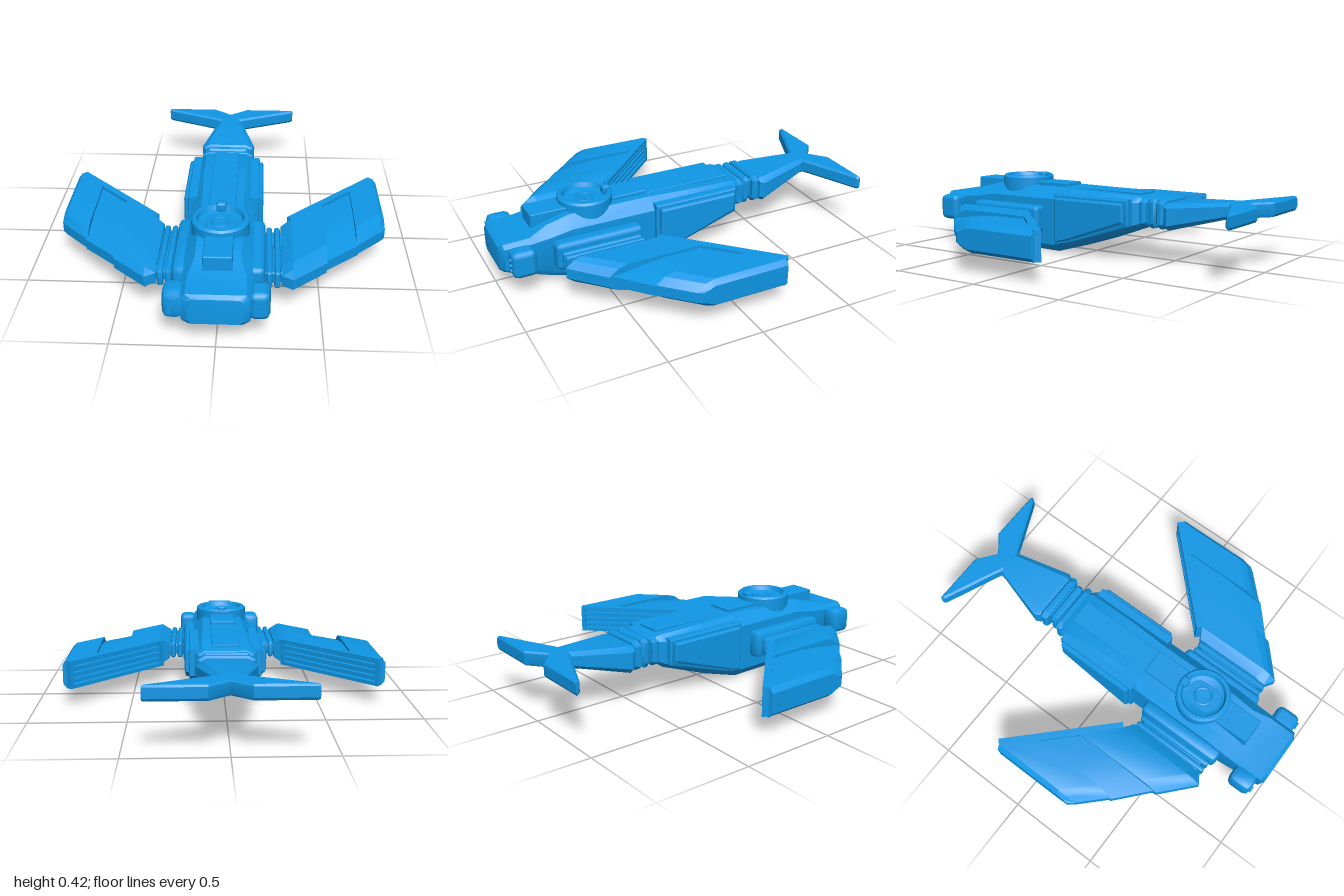
import * as THREE from 'three';
import { mergeVertices, toCreasedNormals } from 'three/addons/utils/BufferGeometryUtils.js';
import { RoundedBoxGeometry } from 'three/addons/geometries/RoundedBoxGeometry.js';

const blue = new THREE.MeshStandardMaterial({ color: 0x0f97e6 });
blue.name = 'hull blue';

// Closed solid skinned through cross-sections (equal numbers of [x, y, z] points), turned outward
function loft(sections, crease = 0.5) {
  const n = sections[0].length, pos = sections.flat(2), idx = [];
  for (let s = 0; s < sections.length - 1; s++) {
    for (let i = 0; i < n; i++) {
      const a = s * n + i, b = s * n + (i + 1) % n;
      idx.push(a, b, b + n, a, b + n, a + n);
    }
  }
  const e = (sections.length - 1) * n;
  const capStart = THREE.ShapeUtils.triangulateShape, flat = (sec) => {
    // drop the axis along which the section is flattest
    const span = [0, 1, 2].map(k => Math.max(...sec.map(p => p[k])) - Math.min(...sec.map(p => p[k])));
    const drop = span.indexOf(Math.min(...span)), keep = [0, 1, 2].filter(k => k !== drop);
    return sec.map(p => new THREE.Vector2(p[keep[0]], p[keep[1]]));
  };
  const cap = (sec, base, start) => {
    const pts = flat(sec), ccw = THREE.ShapeUtils.area(pts) > 0;
    for (const f of capStart(pts.slice(), [])) {
      let [a, b, c] = f;
      // follow the ring order so both caps agree with the sides
      const ringOrder = (THREE.ShapeUtils.area([pts[a], pts[b], pts[c]]) > 0) === ccw;
      if (ringOrder === start) [b, c] = [c, b];
      idx.push(base + a, base + b, base + c);
    }
  };
  cap(sections[0], 0, true);
  cap(sections[sections.length - 1], e, false);
  const P = i => new THREE.Vector3().fromArray(pos, i * 3), mid = P(0);
  let vol = 0;
  for (let i = 0; i < idx.length; i += 3) {
    const [a, b, c] = [0, 1, 2].map(k => P(idx[i + k]).sub(mid));
    vol += a.dot(b.cross(c));
  }
  if (vol < 0) idx.reverse();
  const g = new THREE.BufferGeometry();
  g.setAttribute('position', new THREE.Float32BufferAttribute(pos, 3));
  g.setIndex(idx);
  return toCreasedNormals(g, crease);
}

// Reflection across x = 0 with the corner order restored
function mirrored(geo) {
  const g = geo.index ? geo.toNonIndexed() : geo.clone();
  g.scale(-1, 1, 1);
  for (const attr of Object.values(g.attributes)) {
    const s = attr.itemSize, a = attr.array;
    for (let t = 0; t < attr.count; t += 3) {
      for (let k = 0; k < s; k++) {
        const i = (t + 1) * s + k, j = (t + 2) * s + k;
        [a[i], a[j]] = [a[j], a[i]];
      }
    }
  }
  g.deleteAttribute('normal');
  g.deleteAttribute('uv');
  return toCreasedNormals(mergeVertices(g, 1e-5), 0.5);
}

// Box from its limits, with softened edges
function block(x0, x1, y0, y1, z0, z1, r = 0.012) {
  return new RoundedBoxGeometry(x1 - x0, y1 - y0, z1 - z0, 1, r)
    .translate((x0 + x1) / 2, (y0 + y1) / 2, (z0 + z1) / 2);
}

// Symmetric eight-sided hull section
function hull(z, w, wBottom, wTop, yb, y1, y2, yt) {
  const half = [[wBottom, yb], [w, y1], [w, y2], [wTop, yt]];
  return [...half, ...half.slice().reverse().map(([x, y]) => [-x, y])].map(([x, y]) => [x, y, z]);
}

export function createModel() {
  const model = new THREE.Group();
  model.name = 'spacecraft';
  const add = (name, geo) => {
    const m = new THREE.Mesh(geo, blue);
    m.name = name;
    model.add(m);
  };
  const pair = (name, geo) => {
    add(name + 'Left', geo);
    add(name + 'Right', mirrored(geo));
  };

  // Main hull, nose to stern
  add('hull', loft([
    hull(1.0, 0.13, 0.11, 0.11, 0.13, 0.15, 0.25, 0.265),
    hull(0.98, 0.16, 0.13, 0.14, 0.12, 0.14, 0.26, 0.28),
    hull(0.84, 0.165, 0.14, 0.14, 0.075, 0.12, 0.26, 0.285),
    hull(0.74, 0.165, 0.14, 0.11, 0.04, 0.08, 0.27, 0.32),
    hull(0.62, 0.165, 0.14, 0.11, 0.008, 0.04, 0.29, 0.35),
    hull(0.16, 0.165, 0.14, 0.11, 0.0, 0.035, 0.29, 0.35),
    hull(-0.05, 0.165, 0.13, 0.12, 0.06, 0.1, 0.3, 0.345),
    hull(-0.33, 0.16, 0.13, 0.12, 0.165, 0.19, 0.31, 0.34),
    hull(-0.36, 0.13, 0.11, 0.11, 0.185, 0.2, 0.31, 0.33),
  ], 0.6));
  add('spineFront', block(-0.07, 0.07, 0.27, 0.37, 0.16, 0.81, 0.006));
  add('spineRear', block(-0.07, 0.07, 0.25, 0.353, -0.33, 0.17, 0.004));

  // Dished turret ring with hub and rear nub
  const ring = [[0, 0.36], [0.055, 0.36], [0.11, 0.375], [0.12, 0.4], [0.135, 0.4], [0.145, 0.39], [0.145, 0.3], [0, 0.3]]
    .reverse().map(p => new THREE.Vector2(...p));
  const place = g => g.translate(0, 0, 0.49);
  add('turretRing', place(toCreasedNormals(new THREE.LatheGeometry(ring, 40).scale(-1, 1, 1).scale(-1, 1, 1), 0.5)));
  for (const mesh of [model.children[model.children.length - 1]]) {
    // the profile runs bottom to top, so its faces look outward
    mesh.geometry.computeBoundingSphere();
  }
  add('turretHubRim', place(new THREE.TorusGeometry(0.045, 0.008, 6, 24).rotateX(Math.PI / 2).translate(0, 0.368, 0)));
  for (const a of [0, Math.PI / 2]) {
    add('turretHubCross', place(new THREE.BoxGeometry(0.08, 0.012, 0.012).rotateY(a).translate(0, 0.367, 0)));
  }
  add('turretNub', block(-0.026, 0.026, 0.37, 0.418, 0.35, 0.395, 0.012));

  // Nose pods with a ring of studs on the front
  pair('nosePod', block(0.15, 0.25, 0.125, 0.27, 0.835, 0.965, 0.03));
  for (const y of [0.17, 0.2, 0.23]) {
    pair('podStud', new THREE.CylinderGeometry(0.01, 0.01, 0.016, 8).rotateX(Math.PI / 2).translate(0.215, y, 0.965));
  }

  // Side armour, in two stepped layers that follow the rising belly
  const panel = (x, m) => [[x, 0.04 + m, 0.16 - m], [x, 0.325 - m, 0.16 - m], [x, 0.325 - m, -0.32 + m], [x, 0.185 + m, -0.32 + m], [x, 0.06 + m, 0.06]];
  pair('armourBase', loft([panel(0.14, 0), panel(0.185, 0), panel(0.19, 0.008)]));
  pair('armourPlate', loft([panel(0.18, 0.018), panel(0.205, 0.018), panel(0.212, 0.028)]));

  // Ribbed tail neck
  add('neckCore', block(-0.11, 0.11, 0.2, 0.315, -0.56, -0.32));
  for (const z of [-0.375, -0.425, -0.48]) {
    const w = z === -0.425 ? 0.125 : 0.145;
    add('neckRib', loft([
      hull(z + 0.021, w - 0.012, 0.1, 0.1, 0.19, 0.21, 0.31, 0.325),
      hull(z + 0.01, w, 0.11, 0.11, 0.18, 0.205, 0.315, 0.335),
      hull(z - 0.01, w, 0.11, 0.11, 0.18, 0.205, 0.315, 0.335),
      hull(z - 0.021, w - 0.012, 0.1, 0.1, 0.19, 0.21, 0.31, 0.325),
    ]));
  }

  // Tapered tail and its two flukes
  add('tail', loft([
    hull(-0.505, 0.14, 0.12, 0.12, 0.19, 0.21, 0.3, 0.315),
    hull(-0.53, 0.155, 0.13, 0.12, 0.18, 0.205, 0.295, 0.32),
    hull(-0.82, 0.075, 0.06, 0.05, 0.255, 0.27, 0.32, 0.338),
    hull(-0.88, 0.06, 0.05, 0.04, 0.262, 0.275, 0.325, 0.338),
    hull(-0.915, 0.012, 0.01, 0.01, 0.265, 0.28, 0.325, 0.338),
  ]));
  const fluke = (x, zf, zb, m) => [[x, 0.262 + m, zf - 0.012], [x, 0.275 + m, zf], [x, 0.328 - m, zf], [x, 0.338 - m, zf - 0.012],
    [x, 0.338 - m, zb + 0.008], [x, 0.328 - m, zb], [x, 0.275 + m, zb], [x, 0.262 + m, zb + 0.008]];
  pair('fluke', loft([fluke(0, -0.81, -0.92, 0), fluke(0.07, -0.835, -0.975, 0), fluke(0.1, -0.85, -1, 0),
    fluke(0.385, -0.975, -1, 0), fluke(0.395, -0.985, -1, 0.006)]));

  // Wing joints: alternating collars and narrow ribs
  pair('wingMount', block(0.14, 0.225, 0.1, 0.25, 0.25, 0.73, 0.025));
  pair('wingAxle', block(0.2, 0.34, 0.145, 0.205, 0.3, 0.68));
  for (const x of [0.245, 0.285]) pair('wingCollar', block(x - 0.015, x + 0.015, 0.13, 0.22, 0.275, 0.71));

  // Three overlapping wing segments, each bevelled toward a blunt leading edge
  const rib = (x, zf, zb, yb, yt, c) => [[x, 0.145, zf], [x, 0.2, zf], [x, yt - 0.015, zf - c * 0.5], [x, yt, zf - c],
    [x, yt, zb], [x, yb, zb], [x, yb, zf - c], [x, yb + 0.015, zf - c * 0.5]];
  const back = x => 0.6 - x;
  pair('innerWing', loft([
    rib(0.305, 0.7, 0.27, 0.13, 0.22, 0.06),
    rib(0.36, 0.735, back(0.36), 0.1, 0.25, 0.08),
    rib(0.53, 0.58, back(0.53), 0.1, 0.25, 0.1),
  ], 0.35));
  pair('middleWing', loft([
    rib(0.52, 0.57, back(0.52), 0.115, 0.235, 0.28),
    rib(0.7, 0.41, back(0.7), 0.115, 0.235, 0.24),
  ], 0.35));
  pair('outerWing', loft([
    rib(0.69, 0.41, back(0.69), 0.1, 0.25, 0.1),
    rib(0.83, 0.27, back(0.83), 0.1, 0.25, 0.1),
    rib(0.853, 0.24, -0.225, 0.12, 0.225, 0.06),
  ], 0.35));

  // Slatted vent along the diagonal trailing edge
  const vent = (w, h, d, along, y, out) => new THREE.BoxGeometry(w, h, d).translate(along, y, -out)
    .rotateY(Math.PI / 4).translate(0.595, 0, 0.005);
  for (const y of [0.11, 0.24]) pair('ventRail', vent(0.665, 0.02, 0.04, 0, y, 0.01));
  for (const s of [-1, 1]) pair('ventEnd', vent(0.02, 0.15, 0.04, s * 0.323, 0.175, 0.01));
  for (const y of [0.143, 0.175, 0.207]) pair('ventSlat', vent(0.63, 0.014, 0.03, 0, y, 0.01));

  return model;
}
